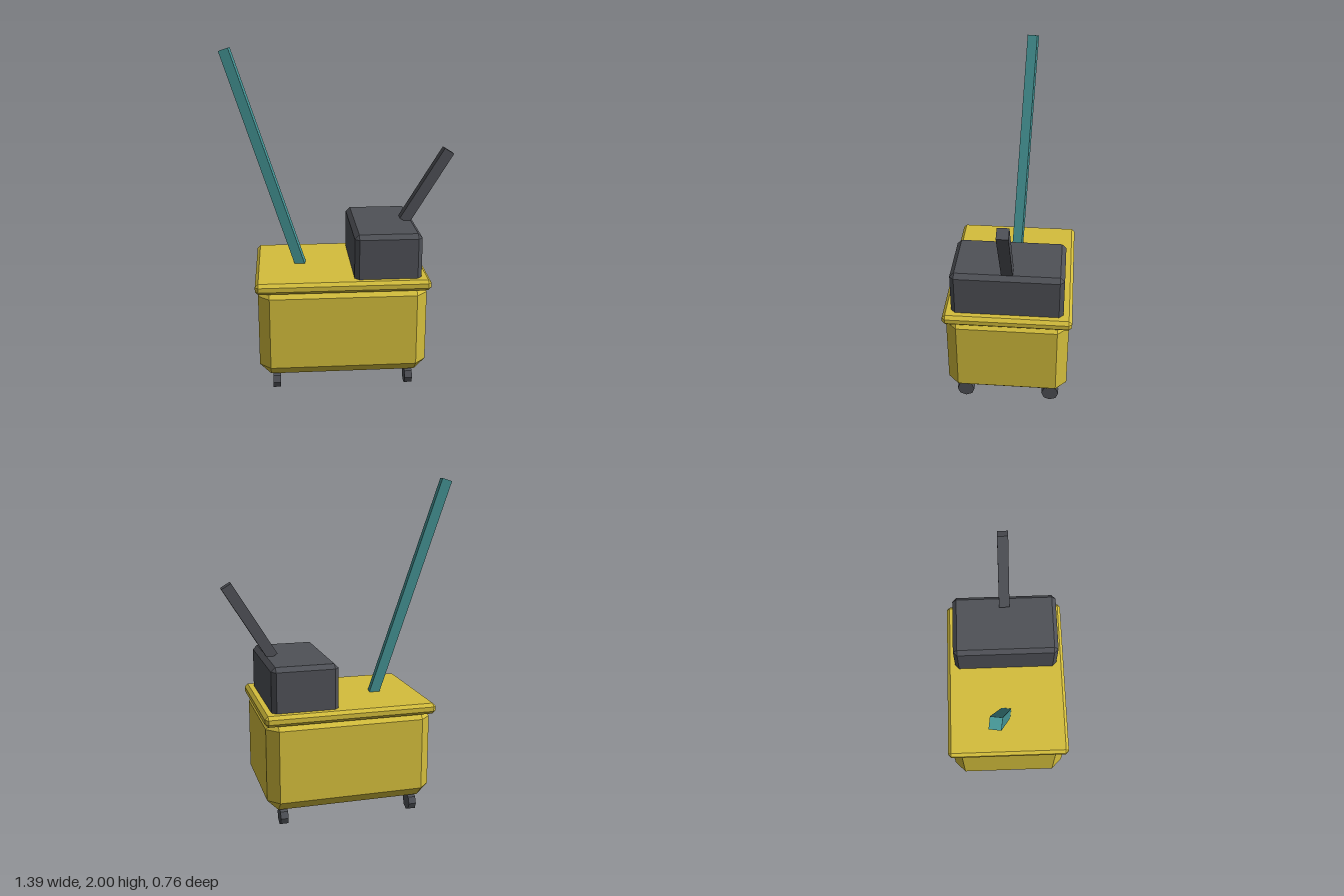
import * as THREE from 'three';
import { ConvexGeometry } from 'three/addons/geometries/ConvexGeometry.js';

const yellow = new THREE.MeshStandardMaterial({ name: 'yellow plastic', color: 0xd4be3c });
const grey = new THREE.MeshStandardMaterial({ name: 'dark grey', color: 0x4f5157 });
const teal = new THREE.MeshStandardMaterial({ name: 'teal', color: 0x459596 });

// Box with every edge and corner cut at 45 degrees
function chamferedBox(w, h, d, c) {
  const points = [];
  for (const x of [-1, 1]) for (const y of [-1, 1]) for (const z of [-1, 1]) {
    for (let axis = 0; axis < 3; axis++) {
      const half = [w / 2, h / 2, d / 2].map((s, i) => (i === axis ? s : s - c));
      points.push(new THREE.Vector3(x * half[0], y * half[1], z * half[2]));
    }
  }
  return new ConvexGeometry(points);
}

export function createModel() {
  const model = new THREE.Group();
  model.name = 'mopBucket';

  function add(name, geometry, material, x, y, z) {
    const mesh = new THREE.Mesh(geometry, material);
    mesh.name = name;
    mesh.position.set(x, y, z);
    model.add(mesh);
    return mesh;
  }

  // Bucket body, rim and wringer
  add('bucketBody', chamferedBox(0.995, 0.565, 0.73, 0.066), yellow, 0, 0.3875, 0);
  add('bucketRim', chamferedBox(1.025, 0.065, 0.76, 0.019), yellow, 0, 0.6675, -0.002);
  add('wringer', chamferedBox(0.395, 0.33, 0.66, 0.026), grey, 0.265, 0.8, 0);

  // Wringer lever, leaning outward
  const lever = add('wringerLever', new THREE.BoxGeometry(0.066, 0.505, 0.066), grey, 0.53, 1.178, 0);
  lever.rotation.z = -0.552;

  // Mop pole, leaning to the other side and slightly back
  const top = new THREE.Vector3(-0.663, 1.991, -0.072);
  const bottom = new THREE.Vector3(-0.222, 0.64, -0.008);
  const run = top.clone().sub(bottom);
  const pole = add('mopPole', new THREE.BoxGeometry(0.06, run.length(), 0.06), teal, 0, 0, 0);
  pole.position.copy(top).add(bottom).multiplyScalar(0.5);
  pole.rotation.set(0, Math.atan2(run.z, -run.x), Math.atan2(Math.hypot(run.x, run.z), run.y));

  // Four eight-sided wheels
  const wheel = new THREE.CylinderGeometry(0.053, 0.053, 0.045, 8).toNonIndexed();
  wheel.rotateZ(Math.PI / 2);
  wheel.computeVertexNormals();
  for (const x of [-0.398, 0.398]) for (const z of [-0.265, 0.265]) {
    add(`${z > 0 ? 'front' : 'back'}${x > 0 ? 'Left' : 'Right'}Wheel`, wheel, grey, x, 0.053, z);
  }
  return model;
}
